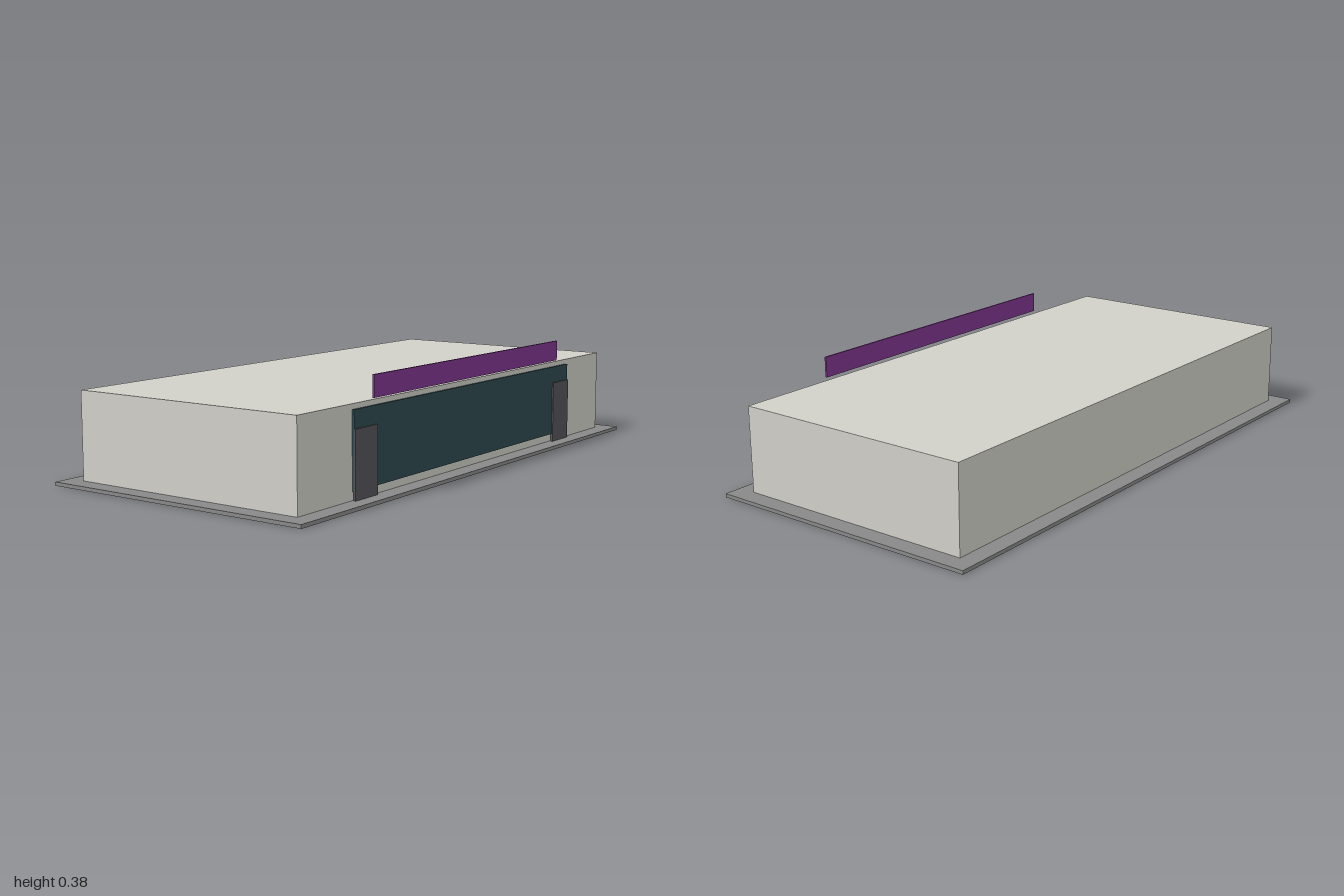
import * as THREE from 'three';

export function createModel() {
  const model = new THREE.Group();

  const paint = (color) => new THREE.MeshStandardMaterial({ color });
  const wall = paint(0xd0cfc8);
  const paving = paint(0x888888);
  const glass = paint(0x2f4a50);
  const doorGrey = paint(0x55555a);
  const purple = paint(0x80358f);

  // Box given by its lower and upper corners
  function block(name, material, [x0, y0, z0], [x1, y1, z1]) {
    const mesh = new THREE.Mesh(new THREE.BoxGeometry(x1 - x0, y1 - y0, z1 - z0), material);
    mesh.position.set((x0 + x1) / 2, (y0 + y1) / 2, (z0 + z1) / 2);
    mesh.name = name;
    model.add(mesh);
  }

  // Paved slab and main hall
  block('groundSlab', paving, [-1, 0, -0.495], [1, 0.0125, 0.495]);
  block('building', wall, [-0.9375, 0.0125, -0.4325], [0.9375, 0.305, 0.4325]);

  // Shop window across the front
  block('shopWindow', glass, [-0.675, 0.04, 0.4335], [0.675, 0.288, 0.441]);

  // Entrance doors at both ends of the window
  block('leftDoor', doorGrey, [0.56, 0.0125, 0.438], [0.675, 0.23, 0.446]);
  block('rightDoor', doorGrey, [-0.675, 0.0125, 0.438], [-0.56, 0.23, 0.446]);

  // Sign board above the roof line
  block('signBoard', purple, [-0.58, 0.312, 0.4395], [0.58, 0.383, 0.4465]);

  return model;
}
